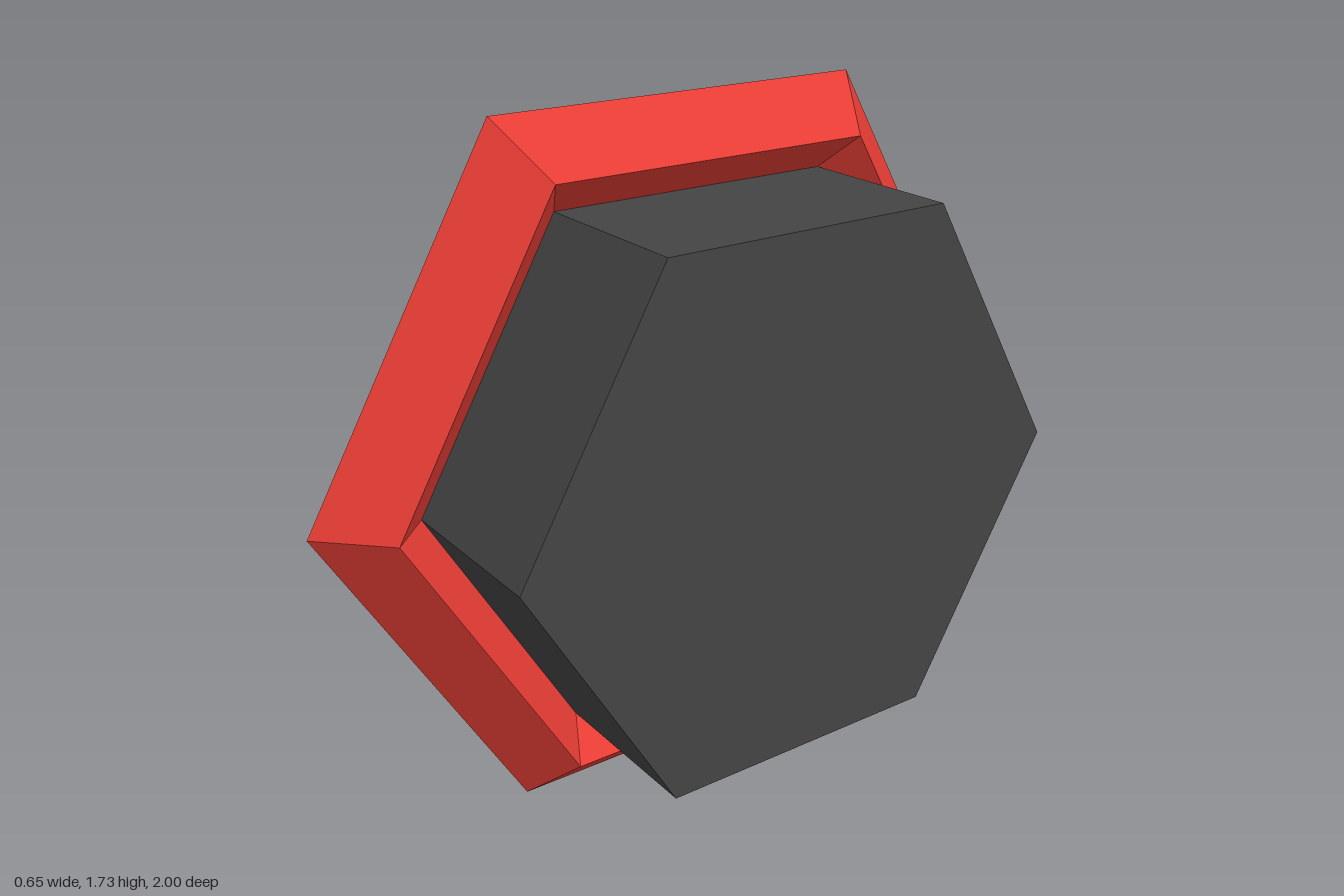
import * as THREE from 'three';

const red = new THREE.MeshStandardMaterial({ color: 0xe53c34 });
red.name = 'red';
const charcoal = new THREE.MeshStandardMaterial({ color: 0x444444 });
charcoal.name = 'charcoal';

const CENTER_Y = Math.sqrt(3) / 2; // hexagon of radius 1 standing on a flat side

// Adds a part with one normal per face, for crisp low-poly facets
function addPart(group, name, geometry, material, x) {
  const faceted = geometry.toNonIndexed();
  faceted.computeVertexNormals();
  const mesh = new THREE.Mesh(faceted, material);
  mesh.name = name;
  mesh.position.set(x, CENTER_Y, 0);
  group.add(mesh);
}

export function createModel() {
  const group = new THREE.Group();
  group.name = 'hexagonalButton';

  // Hexagonal ring with a diamond cross-section, axis along x
  const ring = new THREE.TorusGeometry(0.85, 0.15, 4, 6).rotateY(Math.PI / 2);
  addPart(group, 'ring', ring, red, -0.175);

  // Solid hexagonal core, from the ring's middle plane out to +x
  const core = new THREE.CylinderGeometry(0.75, 0.75, 0.5, 6).rotateZ(-Math.PI / 2);
  addPart(group, 'core', core, charcoal, 0.075);

  return group;
}
